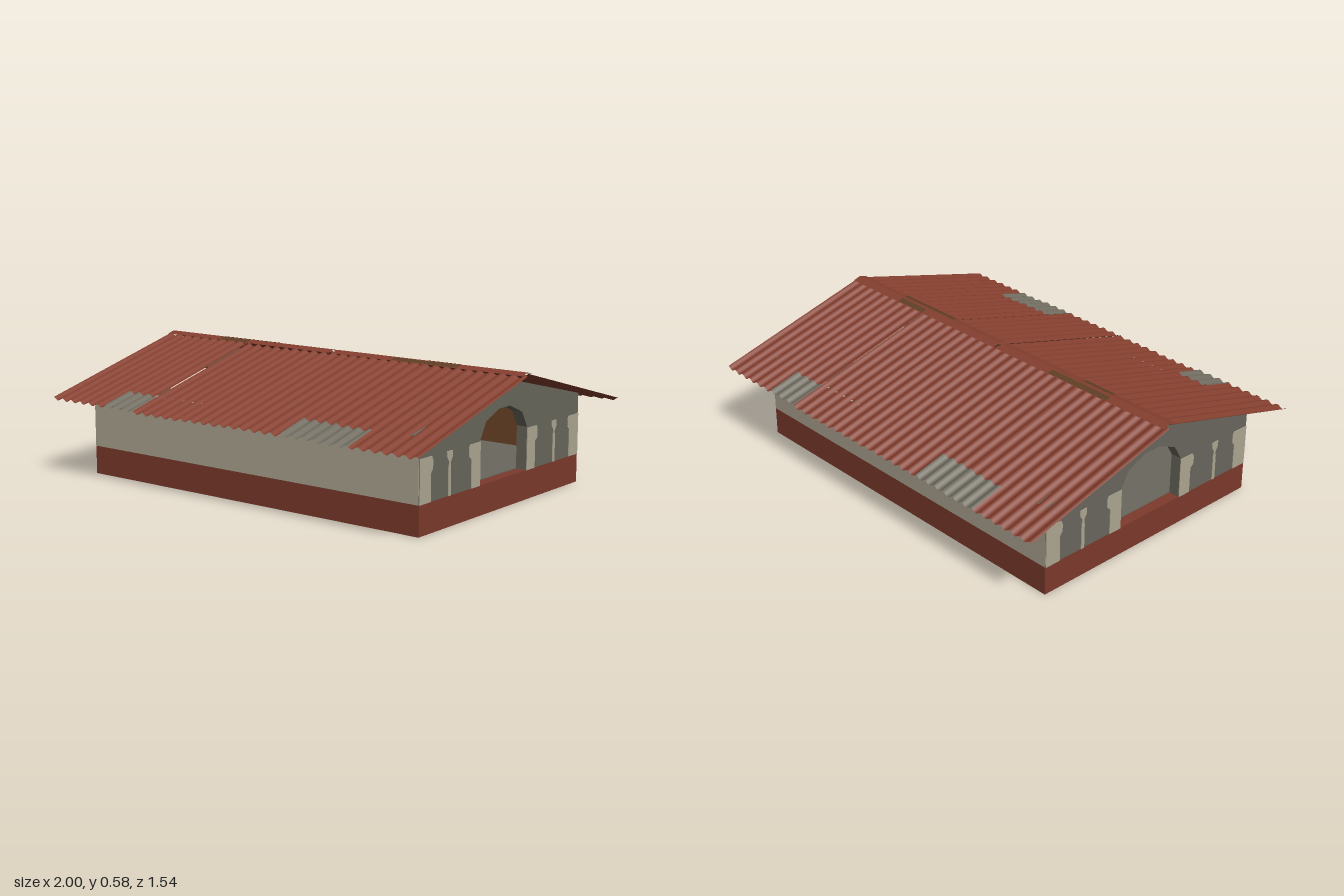
import * as THREE from 'three';

const mat = (name, color) => new THREE.MeshStandardMaterial({ name, color, side: THREE.DoubleSide });

export function createModel() {
  const red = mat('red roof sheet', 0x843f2f);
  const baseRed = mat('red plinth', 0x7d3a2c);
  const cream = mat('cream plaster', 0xaea792);
  const grey = mat('grey stone', 0x69675d);
  const patchGrey = mat('grey roof patch', 0x706c60);
  const brown = mat('brown interior', 0x6e4529);
  const rust = mat('rusty ridge', 0x5e3f24);

  const model = new THREE.Group();
  model.name = 'hall';
  const X0 = -0.905, X1 = 0.885, XC = (X0 + X1) / 2, LEN = X1 - X0;
  const FLOOR = 0.127, T = 0.05;

  const add = (parent, name, geo, material) => {
    const m = new THREE.Mesh(geo, material);
    m.name = name;
    parent.add(m);
    return m;
  };
  const box = (name, w, h, d, x, y, z, material) =>
    add(model, name, new THREE.BoxGeometry(w, h, d), material).position.set(x, y, z);
  const poly = (pts) => new THREE.Shape(pts.map(([a, b]) => new THREE.Vector2(a, b)));

  // Plinth and floor
  box('plinth', LEN, FLOOR, 1.204, XC, FLOOR / 2, 0, baseRed);
  box('floor', LEN - 2 * T, 0.004, 1.13, XC, FLOOR + 0.002, 0, grey);

  // Long walls, plastered outside and brown inside
  for (const s of [1, -1]) {
    box('longWall', LEN - 0.004, 0.268, 0.032, XC, FLOOR + 0.134, s * 0.586, cream);
    box('innerWall', LEN - 2 * T, 0.268, 0.004, XC, FLOOR + 0.134, s * 0.568, brown);
  }

  // Gable walls with an open faceted arch
  const gableShape = poly([
    [-0.6, FLOOR], [-0.178, FLOOR], [-0.178, 0.315], [-0.137, 0.385], [-0.042, 0.425],
    [0.042, 0.425], [0.137, 0.385], [0.178, 0.315], [0.178, FLOOR], [0.6, FLOOR],
    [0.6, 0.4], [0, 0.545], [-0.6, 0.4],
  ]);
  const gableGeo = new THREE.ExtrudeGeometry(gableShape, { depth: T, bevelEnabled: false }).rotateY(Math.PI / 2);
  add(model, 'gableWall', gableGeo, grey).position.x = X1 - T;
  add(model, 'gableWall', gableGeo, grey).position.x = X0;

  // Plaster pilasters with wider heads, as thin plates on both gables
  const pilasters = [
    [[0.6, FLOOR], [0.6, 0.31], [0.52, 0.31], [0.512, 0.295], [0.512, 0.26], [0.525, 0.245], [0.525, FLOOR]],
    [[0.405, FLOOR], [0.405, 0.24], [0.4, 0.26], [0.415, 0.285], [0.415, 0.31], [0.378, 0.31],
      [0.378, 0.285], [0.392, 0.26], [0.388, 0.24], [0.388, FLOOR]],
    [[0.242, FLOOR], [0.242, 0.245], [0.26, 0.26], [0.26, 0.295], [0.252, 0.31], [0.178, 0.31], [0.178, FLOOR]],
  ];
  for (const pts of pilasters) {
    for (const s of [1, -1]) {
      const shape = poly(pts.map(([z, y]) => [s * z, y]));
      const geo = new THREE.ExtrudeGeometry(shape, { depth: 0.003, bevelEnabled: false }).rotateY(Math.PI / 2);
      add(model, 'pilaster', geo, cream).position.x = X1;
      add(model, 'pilaster', geo, cream).position.x = X0 - 0.003;
    }
  }

  // Ruled surface: row(i) gives its two edge points
  const strip = (n, row) => {
    const pos = [], idx = [];
    for (let i = 0; i <= n; i++) {
      const [a, b] = row(i / n);
      pos.push(...a, ...b);
      if (i < n) {
        const k = 2 * i;
        idx.push(k, k + 1, k + 2, k + 1, k + 3, k + 2);
      }
    }
    const g = new THREE.BufferGeometry();
    g.setAttribute('position', new THREE.Float32BufferAttribute(pos, 3));
    g.setIndex(idx);
    g.computeVertexNormals();
    return g;
  };

  // Corrugated sheet between slope fractions t0 (ridge) and t1 (eave)
  const sheet = (x0, x1, t0, t1, lift) =>
    strip(Math.ceil((x1 - x0) / 0.055 * 10), (u) => {
      const x = x0 + (x1 - x0) * u;
      const wave = 0.0065 * Math.cos((x / 0.055) * Math.PI * 2) + lift;
      const at = (t) => [x, 0.563 - 0.206 * t + wave, 0.014 + 0.757 * t];
      return [at(t0), at(t1)];
    });

  // One roof slope; the other is the same turned half round
  const slope = new THREE.Group();
  slope.name = 'roofSlope';
  const panels = [ // x start, x end, lift, has grey eave patch
    [-0.99, -0.66, 0.002, 0], [-0.665, -0.49, 0.004, 1], [-0.495, -0.24, -0.004, 0], [-0.245, 0, -0.001, 0],
    [-0.002, 0.33, 0.002, 0], [0.327, 0.5, 0.004, 1], [0.495, 0.67, 0, 1], [0.67, 1, 0, 0],
  ];
  for (const [x0, x1, lift, patch] of panels) {
    add(slope, 'roofSheet', sheet(x0, x1, 0, patch ? 0.8 : 1, lift), red);
    if (patch) add(slope, 'eavePatch', sheet(x0, x1, 0.8, 1, lift), patchGrey);
  }

  // Ridge cap wings with rusty lengths
  const wing = (x0, x1, z0, z1, up) =>
    strip(1, (u) => {
      const x = x0 + (x1 - x0) * u;
      return [[x, 0.58 - 0.3 * z0 + up, z0], [x, 0.58 - 0.3 * z1 + up, z1]];
    });
  add(slope, 'ridgeCap', wing(-0.99, -0.008, 0, 0.037, 0), red);
  add(slope, 'ridgeCap', wing(0.008, 0.99, 0, 0.037, 0), red);
  for (const [x0, x1] of [[-0.66, -0.49], [0.33, 0.67]])
    add(slope, 'rustyRidge', wing(x0, x1, 0.01, 0.036, 0.002), rust);
  model.add(slope);
  const back = slope.clone();
  back.rotation.y = Math.PI;
  model.add(back);

  return model;
}
